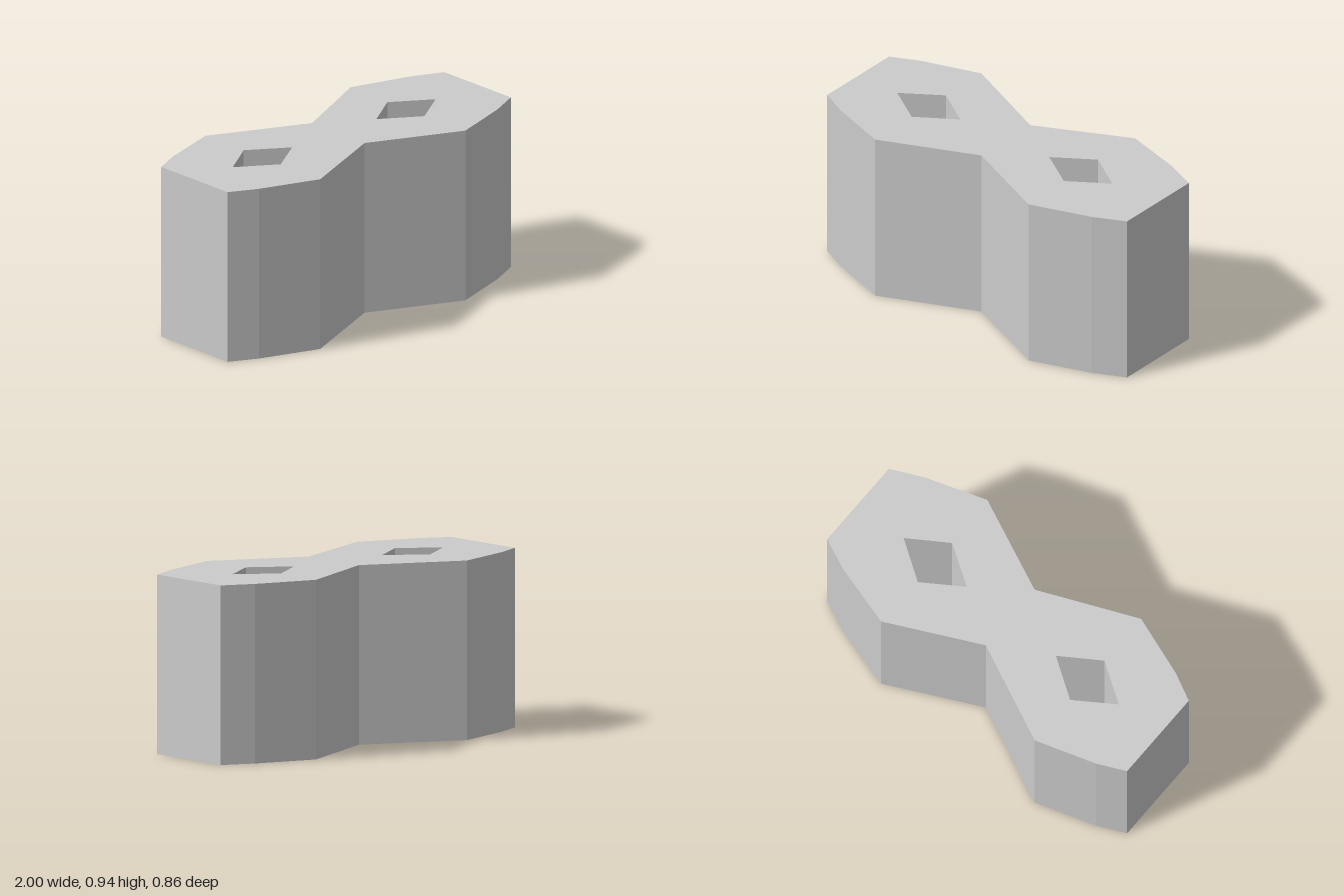
import * as THREE from 'three';

const HEIGHT = 0.935;

// Plan outlines as [x, z] pairs, z towards the front
const outline = [
  [-1, 0.24], [-0.85, 0.315], [-0.525, 0.43], [0, 0.205], [0.5, 0.43], [0.83, 0.32], [1, 0.24],
  [1, -0.26], [0.83, -0.335], [0.5, -0.432], [0, -0.19], [-0.525, -0.432], [-0.85, -0.33], [-1, -0.26],
];

// Diamond-shaped hole around a centre
const diamond = (cx) => [[cx - 0.21, -0.005], [cx, -0.145], [cx + 0.21, -0.005], [cx, 0.133]];

const toPoints = (pairs) => pairs.map(([x, z]) => new THREE.Vector2(x, -z));

export function createModel() {
  const group = new THREE.Group();
  group.name = 'twinHoleBlock';

  // Waisted block with two holes right through it
  const shape = new THREE.Shape(toPoints(outline));
  for (const cx of [-0.525, 0.49]) shape.holes.push(new THREE.Path(toPoints(diamond(cx))));

  const geometry = new THREE.ExtrudeGeometry(shape, { depth: HEIGHT, bevelEnabled: false });
  geometry.rotateX(-Math.PI / 2);

  const block = new THREE.Mesh(
    geometry,
    new THREE.MeshStandardMaterial({ color: 0xcccccc, flatShading: true }),
  );
  block.name = 'block';
  group.add(block);
  return group;
}
